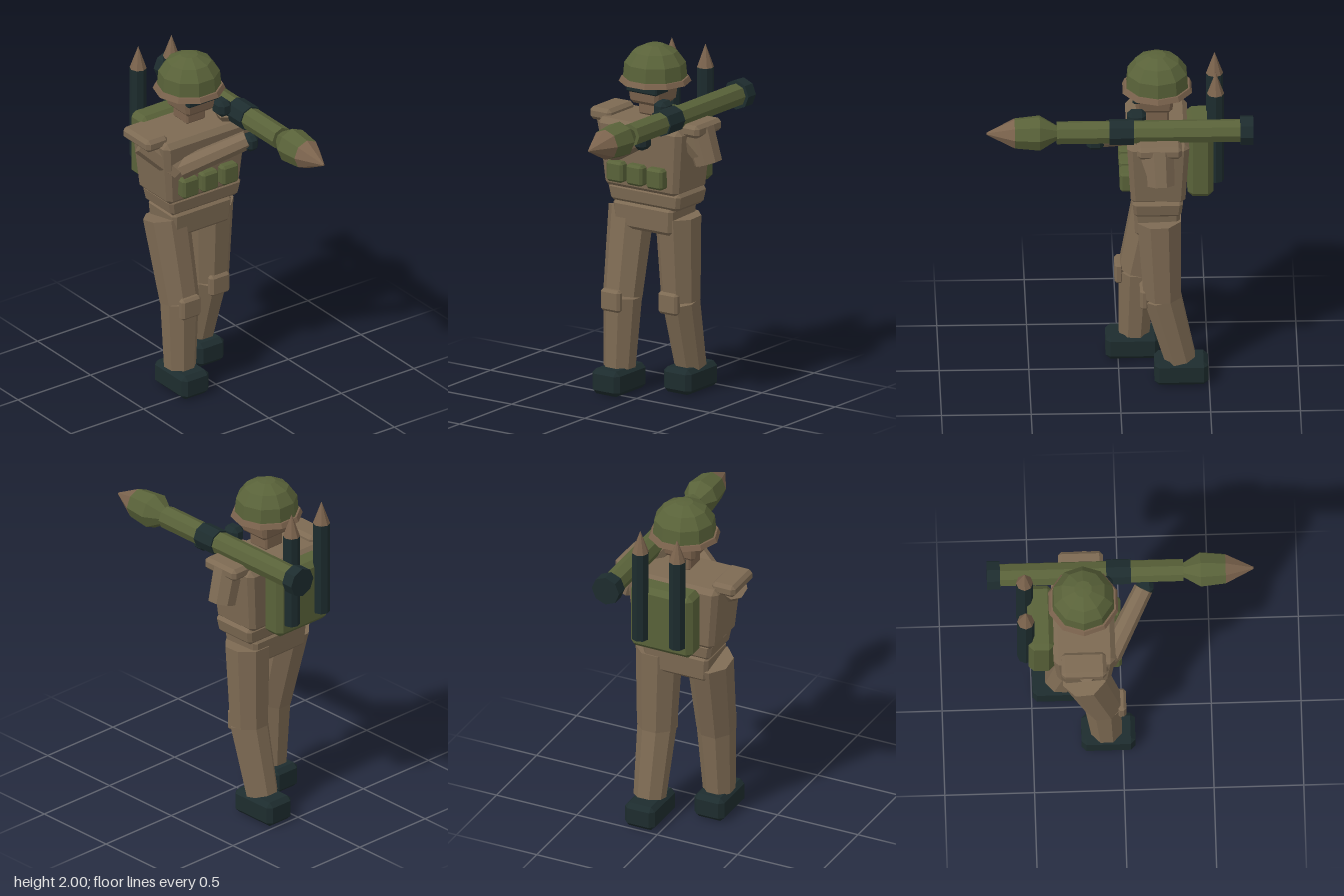
import * as THREE from 'three';
import { ConvexGeometry } from 'three/addons/geometries/ConvexGeometry.js';

const SIDES = 8;

function makeMaterial(name, color) {
  const m = new THREE.MeshStandardMaterial({ color, flatShading: true });
  m.name = name;
  return m;
}

// Box with cut corners, given by its limits; base scales the lower end in x and z
function chamferBox(x0, x1, y0, y1, z0, z1, cut, base = 1) {
  const h = [(x1 - x0) / 2, (y1 - y0) / 2, (z1 - z0) / 2];
  const points = [];
  for (const sx of [-1, 1]) for (const sy of [-1, 1]) for (const sz of [-1, 1]) {
    for (let axis = 0; axis < 3; axis++) {
      const p = h.map((v, i) => (i === axis ? v : v - cut));
      const k = base + (1 - base) * (sy * p[1] / h[1] + 1) / 2;
      points.push(new THREE.Vector3(sx * p[0] * k, sy * p[1], sz * p[2] * k));
    }
  }
  const g = new ConvexGeometry(points);
  g.translate((x0 + x1) / 2, (y0 + y1) / 2, (z0 + z1) / 2);
  return g;
}

export function createModel() {
  const model = new THREE.Group();
  model.name = 'rocketSoldier';
  const cloth = makeMaterial('uniform tan', 0x7d6a53);
  const brown = makeMaterial('warm brown', 0x7b634d);
  const olive = makeMaterial('olive green', 0x596239);
  const dark = makeMaterial('dark gear', 0x1d2c2e);

  function add(name, geometry, material, parent = model) {
    const mesh = new THREE.Mesh(geometry, material);
    mesh.name = name;
    parent.add(mesh);
    return mesh;
  }

  function box(name, material, limits, cut, base) {
    return add(name, chamferBox(...limits, cut, base), material);
  }

  // Tapered eight-sided limb from point a (lower) to point b (upper)
  function limb(name, material, a, b, wa, wb) {
    const p = new THREE.Vector3(...a);
    const d = new THREE.Vector3(...b).sub(p);
    const k = 1 / Math.cos(Math.PI / SIDES);
    const g = new THREE.CylinderGeometry(wb * k, wa * k, d.length(), SIDES);
    g.rotateY(Math.PI / SIDES);
    const mesh = add(name, g, material);
    mesh.position.copy(p).addScaledVector(d, 0.5);
    mesh.quaternion.setFromUnitVectors(new THREE.Vector3(0, 1, 0), d.normalize());
    return mesh;
  }

  // Helmet and brim
  const helmet = new THREE.Group();
  helmet.name = 'helmet';
  helmet.position.set(-0.028, 0, -0.215);
  model.add(helmet);
  const shell = [[0.18, 1.805], [0.172, 1.895], [0.125, 1.96], [0.05, 1.997], [0, 2]];
  const dome = new THREE.LatheGeometry(shell.map(p => new THREE.Vector2(...p)), 10);
  dome.rotateY(Math.PI / 2);
  add('helmetDome', dome, olive, helmet);
  const brim = new THREE.CylinderGeometry(0.19, 0.203, 0.028, 10);
  brim.rotateY(Math.PI / 2);
  add('helmetBrim', brim, brown, helmet).position.y = 1.799;

  // Head
  box('head', brown, [-0.138, 0.078, 1.67, 1.79, -0.31, -0.085], 0.02, 0.88);
  box('goggles', dark, [-0.132, 0.078, 1.74, 1.788, -0.2, -0.076], 0.008);
  box('neck', brown, [-0.095, 0.038, 1.6, 1.7, -0.28, -0.145], 0.01);

  // Trunk
  box('torso', cloth, [-0.315, 0.262, 1.17, 1.57, -0.39, -0.04], 0.03, 0.86);
  box('waist', cloth, [-0.262, 0.24, 1.09, 1.195, -0.355, -0.07], 0.02, 0.92);
  box('pelvis', cloth, [-0.232, 0.178, 0.94, 1.1, -0.34, -0.08], 0.02, 0.94);
  for (const x of [-0.163, -0.028, 0.109]) {
    box('chestPouch', olive, [x - 0.055, x + 0.055, 1.223, 1.342, -0.09, -0.003], 0.014);
  }
  for (const x of [-0.327, 0.272]) {
    box('shoulderPad', cloth, [x - 0.073, x + 0.073, 1.53, 1.603, -0.345, -0.095], 0.02);
  }

  // Right arm crosses the chest, left arm folds up to the launcher
  limb('rightUpperArm', cloth, [-0.2, 1.38, -0.07], [-0.335, 1.54, -0.22], 0.062, 0.075);
  limb('rightForearm', cloth, [-0.2, 1.39, -0.065], [0.125, 1.555, 0.125], 0.058, 0.05);
  box('rightGlove', dark, [0.095, 0.175, 1.495, 1.59, 0.085, 0.182], 0.024);
  limb('leftUpperArm', cloth, [0.327, 1.365, -0.228], [0.27, 1.56, -0.22], 0.075, 0.08);
  limb('leftForearm', cloth, [0.32, 1.38, -0.225], [0.14, 1.64, -0.11], 0.06, 0.05);
  box('leftGlove', dark, [0.068, 0.155, 1.625, 1.72, -0.15, -0.045], 0.024);

  // Legs: knee and ankle points, then boot and pad positions
  const legs = [
    { side: 'right', hip: [-0.188, 1.035, -0.215], knee: [-0.173, 0.545, -0.108],
      ankle: [-0.182, 0.14, -0.09], pad: 0.02, boot: 0.07 },
    { side: 'left', hip: [0.125, 1.035, -0.222], knee: [0.13, 0.545, -0.24],
      ankle: [0.125, 0.14, -0.34], pad: -0.115, boot: -0.195 },
  ];
  for (const { side, hip, knee, ankle, pad, boot } of legs) {
    limb(side + 'Thigh', cloth, knee, hip, 0.104, 0.122);
    limb(side + 'Shin', cloth, ankle, knee, 0.085, 0.102);
    const px = side === 'right' ? -0.177 : 0.121;
    box(side + 'KneePad', cloth, [px - 0.066, px + 0.066, 0.475, 0.602, pad - 0.05, pad], 0.015);
    const bx = side === 'right' ? -0.178 : 0.122;
    box(side + 'Boot', dark, [bx - 0.093, bx + 0.093, 0, 0.146, boot - 0.3, boot], 0.026);
  }

  // Backpack with two spare rockets
  box('backpack', olive, [-0.22, 0.165, 1.18, 1.572, -0.525, -0.38], 0.03);
  for (const x of [-0.143, 0.086]) {
    const rocket = new THREE.Group();
    rocket.name = 'spareRocket';
    rocket.position.set(x, 0, -0.538);
    model.add(rocket);
    add('rocketBody', new THREE.CylinderGeometry(0.048, 0.048, 0.55, SIDES), dark, rocket).position.y = 1.535;
    add('rocketTip', new THREE.ConeGeometry(0.048, 0.135, SIDES), brown, rocket).position.y = 1.8775;
  }

  // Launcher along z: name, material, back z, front z, back radius, front radius
  const launcher = new THREE.Group();
  launcher.name = 'launcher';
  launcher.position.set(0.2, 1.635, 0);
  model.add(launcher);
  const sections = [
    ['launcherRearRing', dark, -0.745, -0.672, 0.085, 0.085],
    ['launcherTube', olive, -0.7, 0.35, 0.066, 0.066],
    ['launcherBand', dark, -0.08, 0.057, 0.075, 0.075],
    ['warheadBase', olive, 0.345, 0.445, 0.04, 0.102],
    ['warheadBody', olive, 0.445, 0.585, 0.102, 0.087],
    ['warheadTip', brown, 0.585, 0.742, 0.087, 0.006],
  ];
  for (const [name, material, z0, z1, r0, r1] of sections) {
    const g = new THREE.CylinderGeometry(r1, r0, z1 - z0, SIDES);
    g.rotateX(Math.PI / 2);
    add(name, g, material, launcher).position.z = (z0 + z1) / 2;
  }
  return model;
}
